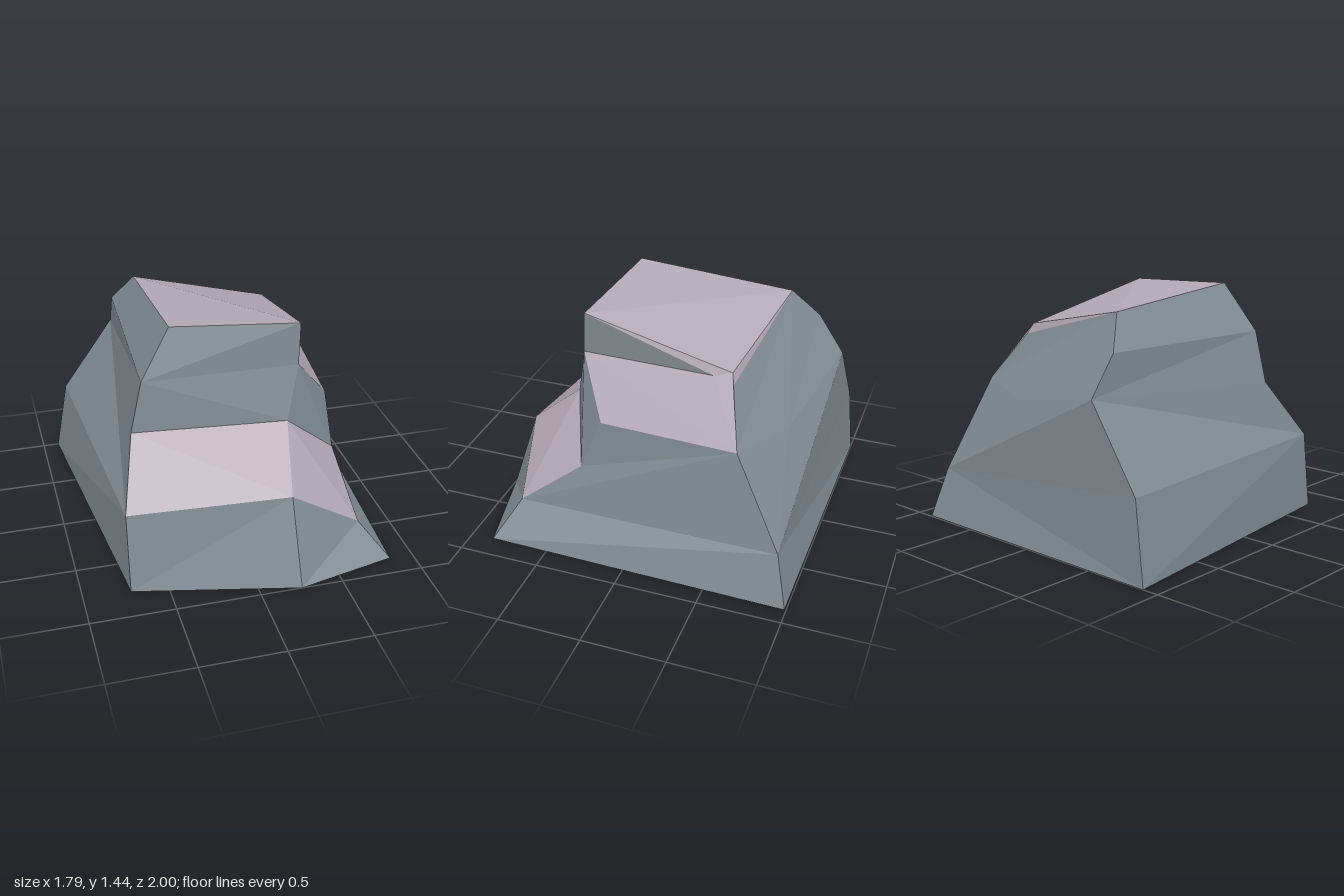
import * as THREE from 'three';

// Named corners of the boulder, in rings from the ground up
const P = {
  // footprint
  a: [-0.72, 0, 0.78], b: [0.25, 0, 1.0], c: [0.855, 0, 0.86], d: [0.89, 0, -0.99], e: [-0.9, 0, -1.0],
  // lower rim
  a1: [-0.72, 0.48, 0.71], b1: [0.23, 0.525, 0.83], c1: [0.685, 0.215, 0.73],
  d1: [0.805, 0.31, -0.915], e1: [-0.82, 0.47, -0.97],
  // inner edge of the front ledge
  f1: [-0.62, 0.845, 0.42], f2: [0.3, 0.83, 0.485], f3: [0.645, 0.52, 0.34],
  // side ledge and notch
  g1: [-0.55, 1.155, 0.405], g2: [0.385, 1.15, 0.405],
  k1: [0.63, 0.84, 0.21], k2: [0.7, 0.86, -0.628],
  h: [0.45, 1.175, -0.41], q: [0.475, 1.14, -0.53],
  // back
  l: [-0.5, 1.17, -0.795], m: [-0.49, 0.94, -0.955], n: [0.265, 0.805, -0.81],
  // summit
  t1: [-0.365, 1.44, 0.325], t2: [0.395, 1.405, 0.39], t3: [0.435, 1.205, -0.515], t4: [-0.38, 1.365, -0.64],
};

const CENTRE = new THREE.Vector3(0, 0.5, -0.1);

// Builds flat facets from corner names; each polygon is fanned from its first
// corner and every triangle is turned to face away from the rock's centre
function facets(name, material, polygons) {
  const pos = [];
  for (const polygon of polygons) {
    const v = polygon.split(' ').map((k) => new THREE.Vector3(...P[k]));
    for (let i = 1; i < v.length - 1; i++) {
      const tri = new THREE.Triangle(v[0], v[i], v[i + 1]);
      const normal = tri.getNormal(new THREE.Vector3());
      const out = tri.getMidpoint(new THREE.Vector3()).sub(CENTRE);
      const order = normal.dot(out) > 0 ? [v[0], v[i], v[i + 1]] : [v[0], v[i + 1], v[i]];
      order.forEach((p) => pos.push(p.x, p.y, p.z));
    }
  }
  const geometry = new THREE.BufferGeometry();
  geometry.setAttribute('position', new THREE.Float32BufferAttribute(pos, 3));
  geometry.computeVertexNormals();
  const mesh = new THREE.Mesh(geometry, material);
  mesh.name = name;
  return mesh;
}

export function createModel() {
  const stone = new THREE.MeshStandardMaterial({ color: 0x828c94 });
  stone.name = 'grey stone';
  const pale = new THREE.MeshStandardMaterial({ color: 0xb4a8b6 });
  pale.name = 'pale mauve stone';

  const rock = new THREE.Group();
  rock.name = 'rock';
  rock.add(
    facets('underside', stone, ['a b c d e']),
    facets('frontWall', stone, ['a b b1 a1', 'b c c1 b1']),
    facets('upperFrontWall', stone, ['f2 g2 g1 f1', 'g1 g2 t2 t1', 'f3 f2 g2 k1']),
    facets('leftWall', stone, ['c d d1 c1', 'c1 d1 k2 f3', 'f3 k2 k1']),
    facets('notchWall', stone, ['t2 g2 h']),
    facets('backWall', stone, ['e e1 d1 d', 'd1 e1 m n', 'k2 d1 n', 't4 q k2 n l', 'l n m']),
    facets('rightWall', stone, ['e a a1 e1', 'm e1 a1 f1 g1 l', 'l g1 t1 t4']),
    facets('frontLedge', pale, ['b1 a1 f1 f2', 'b1 c1 f2', 'c1 f3 f2']),
    facets('sideLedge', pale, ['g2 k1 k2 h', 'k2 q t3 h', 't2 h t3']),
    facets('summit', pale, ['t2 t1 t4 t3', 't4 t3 q']),
  );
  return rock;
}
